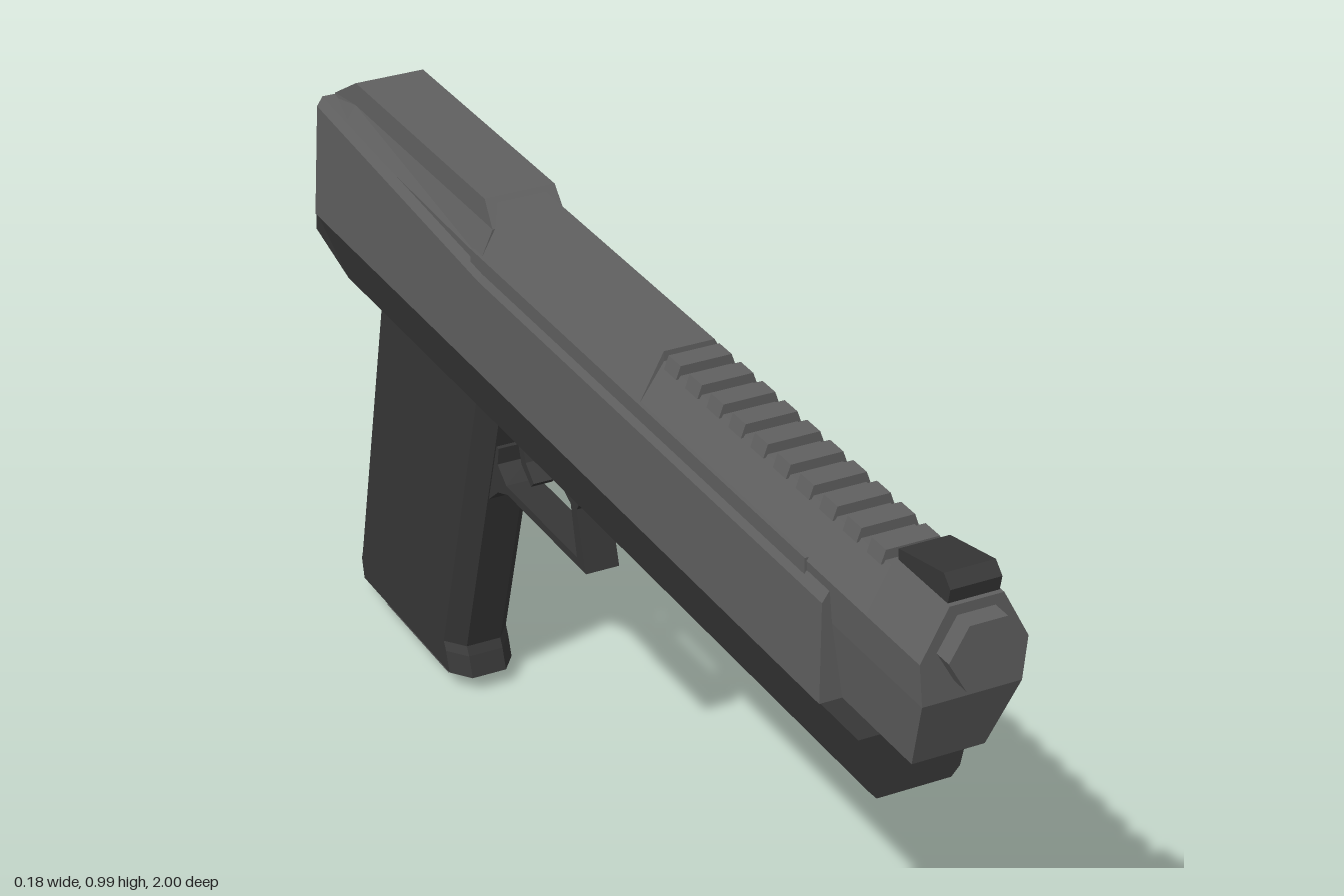
import * as THREE from 'three';

const upperMat = new THREE.MeshStandardMaterial({ color: 0x606060, flatShading: true });
const lowerMat = new THREE.MeshStandardMaterial({ color: 0x363636, flatShading: true });

// Faceted loft through half sections of [x, y, z], mirrored in x and capped at both ends
function loft(name, mat, sections) {
  const rings = sections.map(s => [
    ...s.map(p => new THREE.Vector3(...p)),
    ...s.map(p => new THREE.Vector3(-p[0], p[1], p[2])).reverse(),
  ]);
  const n = rings[0].length;
  const tris = [];
  const quad = (a, b, c, d) => tris.push([a, b, c], [a, c, d]);
  for (let i = 0; i < rings.length - 1; i++) {
    for (let j = 0; j < n; j++) {
      const k = (j + 1) % n;
      quad(rings[i][j], rings[i][k], rings[i + 1][k], rings[i + 1][j]);
    }
  }
  const first = rings[0], last = rings[rings.length - 1];
  for (let j = 0; j < n / 2 - 1; j++) {
    quad(first[j + 1], first[j], first[n - 1 - j], first[n - 2 - j]);
    quad(last[j], last[j + 1], last[n - 2 - j], last[n - 1 - j]);
  }
  // Turn every face outward
  let volume = 0;
  for (const [a, b, c] of tris) volume += a.dot(b.clone().cross(c));
  const pts = tris.flatMap(([a, b, c]) => (volume < 0 ? [a, c, b] : [a, b, c]));
  const geo = new THREE.BufferGeometry().setFromPoints(pts);
  geo.computeVertexNormals();
  const mesh = new THREE.Mesh(geo, mat);
  mesh.name = name;
  return mesh;
}

// Side outline of [z, y] points extruded across x
function plate(name, mat, outline, halfWidth) {
  const shape = new THREE.Shape(outline.map(([z, y]) => new THREE.Vector2(-z, y)));
  const geo = new THREE.ExtrudeGeometry(shape, { depth: halfWidth * 2, bevelEnabled: false });
  geo.translate(0, 0, -halfWidth);
  geo.rotateY(Math.PI / 2);
  const mesh = new THREE.Mesh(geo, mat);
  mesh.name = name;
  return mesh;
}

function box(name, mat, w, h, d, x, y, z) {
  const mesh = new THREE.Mesh(new THREE.BoxGeometry(w, h, d), mat);
  mesh.position.set(x, y, z);
  mesh.name = name;
  return mesh;
}

export function createModel() {
  const model = new THREE.Group();
  model.name = 'pistol';

  // Barrel housing with a sloped nose, lower where the ribs sit
  const housing = (z, top, lowZ = z) => [
    [0.04, top, z], [0.08, 0.875, z], [0.074, 0.81, z], [0.055, 0.69, lowZ],
  ];
  model.add(loft('barrelHousing', upperMat, [
    housing(0.97, 0.95, 0.92), housing(0.835, 0.95), housing(0.834, 0.935),
    housing(0.201, 0.935), housing(0.2, 0.95), housing(-0.4, 0.95),
  ]));

  // Top ribs
  const ribs = new THREE.Group();
  ribs.name = 'topRibs';
  for (let i = 0; i < 10; i++) {
    const z = 0.232 + i * 0.0625;
    ribs.add(loft('rib', upperMat, [z - 0.018, z + 0.018].map(v => [
      [0.04, 0.95, v], [0.047, 0.93, v],
    ])));
  }
  model.add(ribs);

  // Six-sided muzzle
  const muzzle = new THREE.Mesh(
    new THREE.CylinderGeometry(0.056, 0.056, 0.05, 6, 1, false, Math.PI / 2), upperMat);
  muzzle.rotation.x = Math.PI / 2;
  muzzle.position.set(0, 0.886, 0.975);
  muzzle.name = 'muzzle';
  model.add(muzzle);

  // Slide side body, its top edge rising to the rear
  const slide = (z, top, topZ = z) => [
    [0.08, top, topZ], [0.09, top - 0.015, topZ], [0.09, 0.69, z],
  ];
  model.add(loft('slideBody', upperMat, [
    slide(0.74, 0.86), slide(-0.3, 0.86), slide(-0.92, 0.905, -0.895),
  ]));

  // Raised rear cover
  model.add(loft('rearCover', upperMat, [
    [[0.058, 0.957, -0.34], [0.06, 0.92, -0.31], [0.08, 0.875, -0.31], [0.08, 0.8, -0.33]],
    [[0.058, 0.957, -0.81], [0.06, 0.92, -0.81], [0.08, 0.89, -0.81], [0.08, 0.8, -0.81]],
    [[0.058, 0.907, -0.895], [0.06, 0.9, -0.895], [0.08, 0.88, -0.896], [0.08, 0.8, -0.9]],
  ]));

  // Side rails above the slide body
  for (const s of [1, -1]) {
    model.add(box('sideRail', upperMat, 0.02, 0.03, 1.02, s * 0.073, 0.865, 0.17));
  }

  // Front sight
  model.add(plate('frontSight', lowerMat, [
    [0.96, 0.94], [0.967, 0.972], [0.95, 0.988], [0.84, 0.966], [0.84, 0.94],
  ], 0.038));

  // Frame with a narrowing tail
  const frame = z => [[0.088, 0.69, z], [0.07, 0.605, z], [0.057, 0.59, z]];
  model.add(loft('frame', lowerMat, [
    frame(0.84), frame(-0.84),
    [[0.086, 0.69, -0.925], [0.083, 0.655, -0.935], [0.07, 0.638, -0.94]],
    [[0.04, 0.662, -1], [0.04, 0.648, -1], [0.036, 0.635, -0.998]],
  ]));

  // Chamfered, raked grip with a flared foot
  const grip = (y, front, rear) => [
    [0.03, y, front], [0.056, y, front - 0.033], [0.056, y, rear + 0.033], [0.03, y, rear],
  ];
  model.add(loft('grip', lowerMat, [
    grip(0.6, -0.353, -0.773), grip(0.08, -0.5, -0.888),
    grip(0.065, -0.492, -0.893), grip(0.03, -0.48, -0.885),
  ]));

  // Magazine base
  model.add(plate('magazineBase', upperMat, [
    [-0.59, 0.04], [-0.59, 0.03], [-0.558, 0], [-0.8, 0], [-0.8, 0.04],
  ], 0.038));

  // Trigger guard
  model.add(plate('triggerGuard', lowerMat, [
    [-0.03, 0.597], [-0.08, 0.57], [-0.1, 0.54], [-0.07, 0.443], [-0.34, 0.443],
    [-0.375, 0.43], [-0.41, 0.4], [-0.44, 0.4], [-0.42, 0.51], [-0.37, 0.51],
    [-0.375, 0.48], [-0.345, 0.457], [-0.1, 0.457], [-0.12, 0.54], [-0.16, 0.56],
    [-0.21, 0.597],
  ], 0.028));

  // Curved trigger
  model.add(plate('trigger', lowerMat, [
    [-0.295, 0.597], [-0.305, 0.55], [-0.295, 0.52], [-0.267, 0.497], [-0.277, 0.487],
    [-0.31, 0.51], [-0.323, 0.55], [-0.315, 0.597],
  ], 0.018));

  return model;
}
